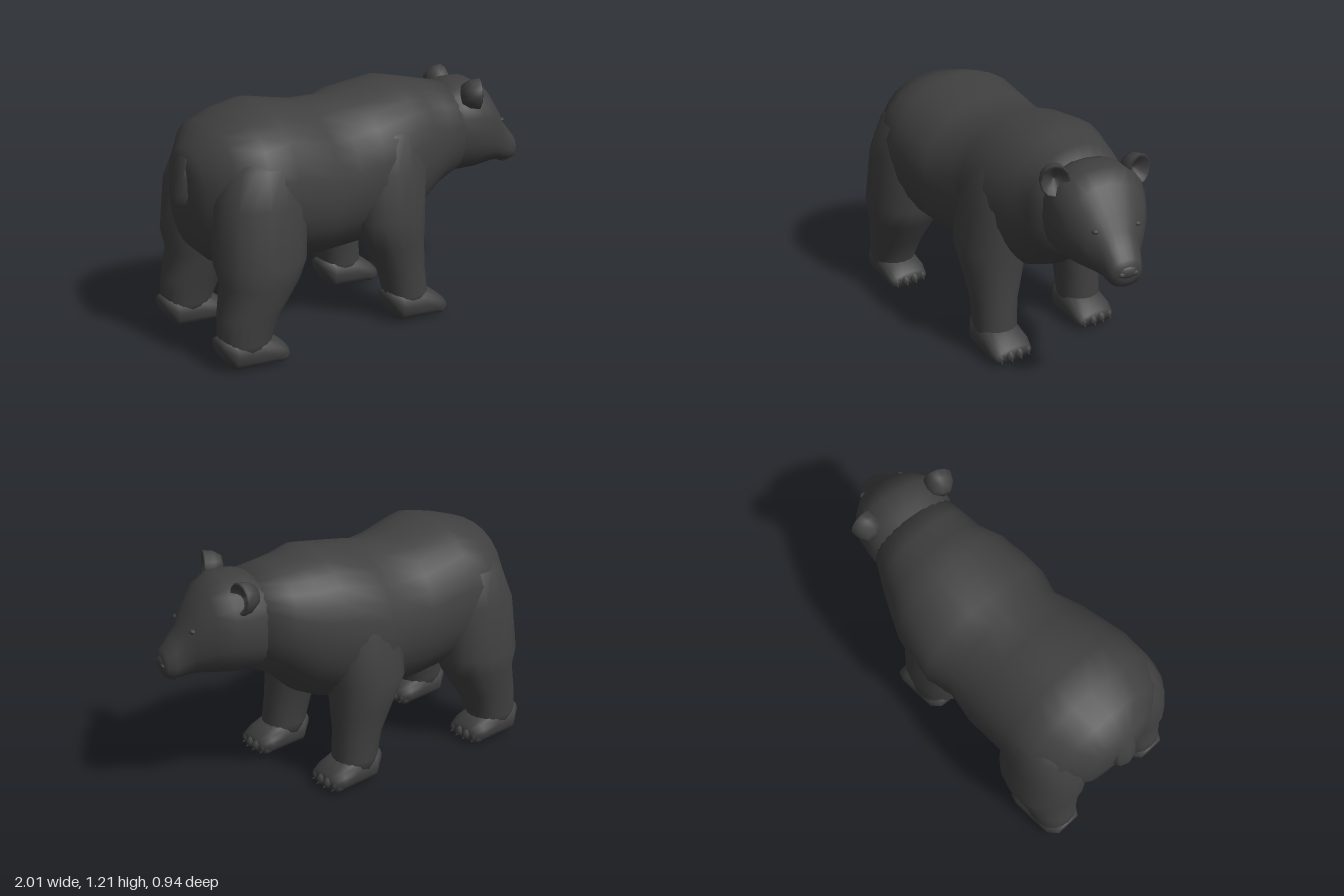
import * as THREE from 'three';

const fur = new THREE.MeshStandardMaterial({ color: 0x404040 });
fur.name = 'darkFur';

// Skin a closed tube over rings of points, capped at both ends
function loft(rings) {
  const n = rings[0].length, pos = [], idx = [];
  rings.forEach(r => r.forEach(p => pos.push(...p)));
  const centre = r => [0, 1, 2].map(k => r.reduce((s, p) => s + p[k], 0) / n);
  const last = (rings.length - 1) * n, a = rings.length * n, b = a + 1;
  pos.push(...centre(rings[0]), ...centre(rings[rings.length - 1]));
  for (let j = 0; j < n; j++) {
    const k = (j + 1) % n;
    for (let i = 0; i < last; i += n) {
      idx.push(i + j, i + n + j, i + k, i + k, i + n + j, i + n + k);
    }
    idx.push(a, j, k, b, last + k, last + j);
  }
  const g = new THREE.BufferGeometry();
  g.setAttribute('position', new THREE.Float32BufferAttribute(pos, 3));
  g.setIndex(idx);
  g.computeVertexNormals();
  return g;
}

const soft = (v, p) => Math.sign(v) * Math.abs(v) ** p;
const angles = n => Array.from({ length: n }, (_, j) => (j / n) * Math.PI * 2);

// Sections [x, centreZ, halfWidth, top, bottom, own top roundness], from back to front
const alongX = (sections, pTop, pLow, n) => loft(sections.map(([x, z, w, top, bot, pOwn = pTop]) => angles(n).map(t => {
  const p = Math.sin(t) > 0 ? pOwn : pLow;
  return [x, (top + bot) / 2 + (top - bot) / 2 * soft(Math.sin(t), p), z + w * soft(Math.cos(t), p)];
})));

// Sections [y, x, z, radiusX, radiusZ], from top to bottom
const alongY = (sections, n = 18) => loft(sections.map(([y, x, z, rx, rz]) =>
  angles(n).map(t => [x + rx * soft(Math.cos(t), 0.94), y, z - rz * soft(Math.sin(t), 0.94)])));

function add(parent, name, geometry, position = [0, 0, 0], scale = [1, 1, 1]) {
  const m = new THREE.Mesh(geometry, fur);
  m.name = name;
  m.position.set(...position);
  m.scale.set(...scale);
  parent.add(m);
  return m;
}

const ball = new THREE.SphereGeometry(1, 12, 8);
const clawCone = new THREE.ConeGeometry(0.014, 0.04, 6).rotateZ(-Math.PI / 2 - 0.5);

// Leg column with a paw, four toes and claws; lean carries the foot forward
function leg(name, side, sections, dx, dz, lean, heel, toe) {
  const g = new THREE.Group();
  g.name = name;
  const shiftX = y => dx + lean * Math.max(0, 1 - y / 0.55);
  const shiftZ = y => dz * Math.min(1, 0.5 + y);
  add(g, 'limb', alongY(sections.map(([y, x, z, rx, rz]) => [y, x + shiftX(y), z * side + shiftZ(y), rx, rz])));
  const z = sections[sections.length - 1][2] * side + shiftZ(0), h = heel + shiftX(0), t = toe + shiftX(0);
  add(g, 'paw', alongX([
    [h, z, 0.07, 0.17, 0.09], [h + 0.05, z, 0.105, 0.185, 0.012], [h + 0.18, z, 0.115, 0.18, 0.006],
    [t - 0.08, z, 0.117, 0.135, 0.008], [t - 0.03, z, 0.102, 0.095, 0.018],
  ], 0.95, 0.75, 18));
  for (let i = 0; i < 4; i++) {
    const tz = z + (i - 1.5) * 0.054, tx = t - 0.045 - Math.abs(i - 1.5) * 0.012;
    add(g, 'toe', ball, [tx, 0.05, tz], [0.042, 0.036, 0.027]);
    add(g, 'claw', clawCone, [tx + 0.033, 0.038, tz]);
  }
  return g;
}

const hindLeg = [
  [1.06, -0.65, 0.18, 0.12, 0.12], [0.97, -0.66, 0.22, 0.19, 0.17], [0.8, -0.675, 0.245, 0.235, 0.195],
  [0.52, -0.695, 0.278, 0.23, 0.193], [0.42, -0.705, 0.285, 0.195, 0.175], [0.27, -0.77, 0.295, 0.16, 0.135],
  [0.14, -0.805, 0.303, 0.135, 0.113], [0.07, -0.79, 0.303, 0.115, 0.105],
];
const foreLeg = [
  [1.07, 0.1, 0.16, 0.12, 0.1], [0.99, 0.1, 0.2, 0.18, 0.135], [0.82, 0.085, 0.23, 0.215, 0.165],
  [0.57, 0.07, 0.253, 0.2, 0.18], [0.42, 0.1, 0.262, 0.16, 0.147], [0.28, 0.13, 0.273, 0.125, 0.117],
  [0.15, 0.145, 0.278, 0.117, 0.11], [0.07, 0.155, 0.278, 0.105, 0.105],
];

function head() {
  const g = new THREE.Group();
  g.name = 'head';
  g.position.x = 0.6;
  g.rotation.y = -0.17;
  // Skull tapering into the muzzle
  add(g, 'skull', alongX([
    [-0.15, 0, 0.22, 1.12, 0.67], [0, 0, 0.243, 1.15, 0.66], [0.1, 0, 0.245, 1.15, 0.665],
    [0.185, 0, 0.205, 1.1, 0.675], [0.265, 0, 0.145, 0.985, 0.68], [0.3, 0, 0.108, 0.915, 0.672],
    [0.345, 0, 0.095, 0.86, 0.662], [0.385, 0, 0.077, 0.81, 0.675], [0.4, 0, 0.045, 0.785, 0.71],
  ], 0.85, 0.9, 24));
  add(g, 'nose', ball, [0.383, 0.752, 0], [0.028, 0.036, 0.06]);
  add(g, 'lowerLip', ball, [0.34, 0.682, 0], [0.04, 0.022, 0.06]);
  // Deep cupped ear with a rolled rim
  const cup = new THREE.LatheGeometry([
    [0, -0.06], [0.05, -0.05], [0.074, -0.01], [0.08, 0.035], [0.068, 0.042], [0.048, 0.015], [0, -0.01],
  ].map(p => new THREE.Vector2(...p)), 12).rotateZ(-Math.PI / 2);
  for (const s of [1, -1]) {
    const ear = add(g, s > 0 ? 'rightEar' : 'leftEar', cup, [0.04, 1.098 + 0.012 * s, 0.208 * s], [1, 1.02, 0.92]);
    ear.rotation.y = -0.25 * s;
    add(g, 'eye', ball, [0.27, 0.922, 0.108 * s], [0.016, 0.012, 0.018]);
    add(g, 'nostril', ball, [0.398, 0.745, 0.032 * s], [0.012, 0.014, 0.02]);
  }
  return g;
}

export function createModel() {
  const bear = new THREE.Group();
  bear.name = 'bear';

  // Rump, back, belly, shoulders and neck, with a rounder waist
  add(bear, 'body', alongX([
    [-0.955, 0, 0.07, 0.97, 0.74], [-0.925, 0, 0.2, 1.03, 0.54], [-0.83, 0, 0.34, 1.14, 0.45],
    [-0.69, 0, 0.415, 1.18, 0.42], [-0.55, 0, 0.415, 1.212, 0.41, 0.9], [-0.3, -0.02, 0.4, 1.162, 0.385, 0.97],
    [-0.14, -0.035, 0.36, 1.162, 0.375, 1.06], [-0.02, -0.045, 0.395, 1.175, 0.385, 0.92],
    [0.22, -0.045, 0.365, 1.21, 0.43, 0.92], [0.34, -0.045, 0.315, 1.185, 0.485, 0.92],
    [0.45, -0.03, 0.28, 1.16, 0.59, 0.9], [0.6, 0, 0.23, 1.13, 0.67],
  ], 0.87, 0.97, 28));

  // Short tail growing out of the rump
  add(bear, 'tail', alongY([
    [0.99, -0.925, 0, 0.03, 0.06], [0.9, -0.94, 0, 0.043, 0.075],
    [0.81, -0.95, 0, 0.05, 0.07], [0.75, -0.955, 0, 0.038, 0.04],
  ], 8));

  for (const s of [1, -1]) {
    const name = s > 0 ? 'right' : 'left';
    bear.add(leg(name + 'HindLeg', s, hindLeg, 0, 0, 0, -0.94, -0.585));
    bear.add(leg(name + 'FrontLeg', s, foreLeg, s > 0 ? 0 : -0.03, -0.035, s > 0 ? 0.025 : 0, 0.02, 0.36));
  }
  bear.add(head());
  return bear;
}
